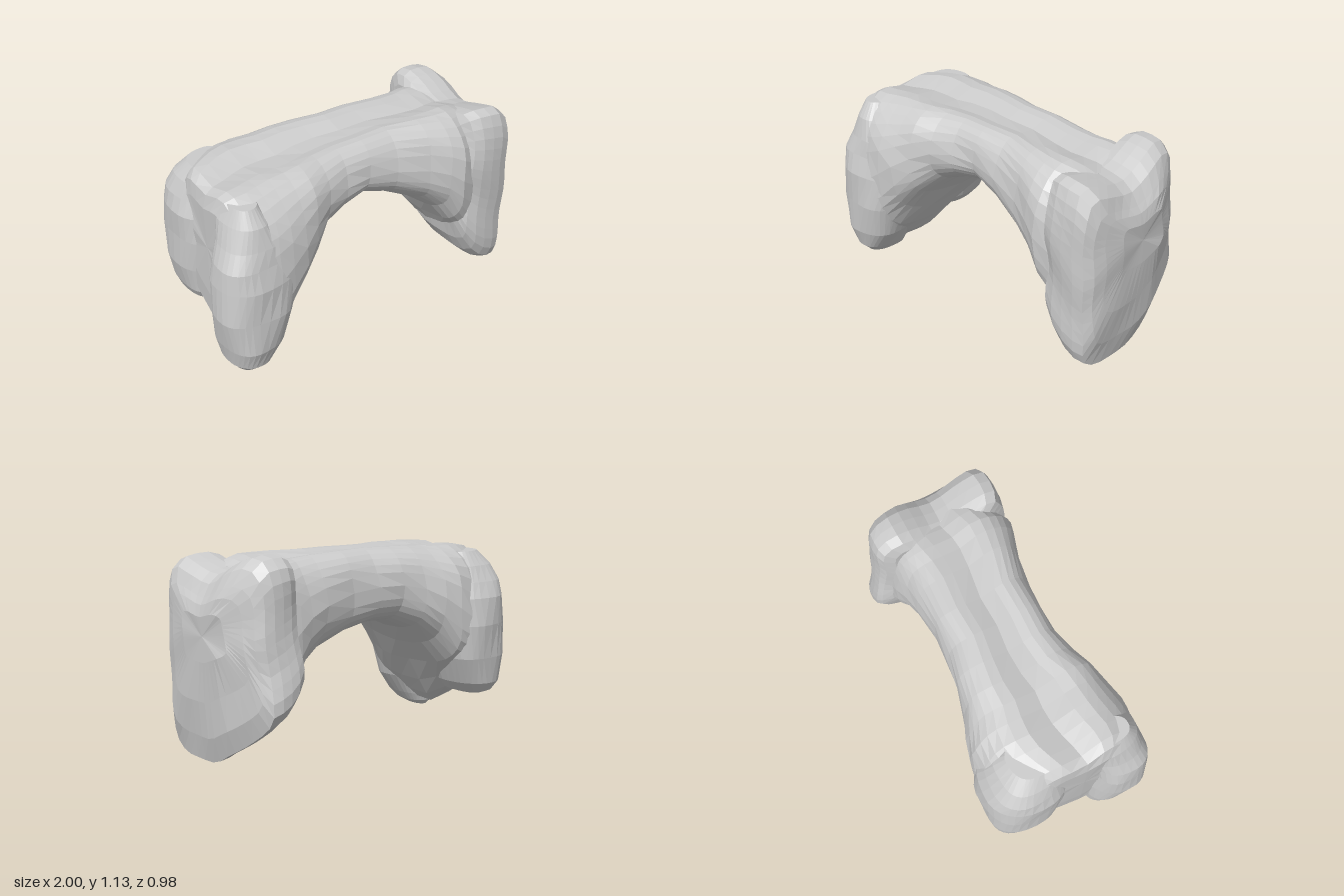
import * as THREE from 'three';

const SIDES = 32;
const material = new THREE.MeshStandardMaterial({ color: 0xcccccc, flatShading: true });

// Skins a list of closed rings of Vector3, closing both ends.
function skin(name, rings) {
  const n = rings[0].length, pos = [], idx = [];
  rings.forEach(r => r.forEach(p => pos.push(p.x, p.y, p.z)));
  for (let i = 0; i < rings.length - 1; i++)
    for (let j = 0; j < n; j++) {
      const a = i * n + j, b = i * n + (j + 1) % n;
      idx.push(a, a + n, b, b, a + n, b + n);
    }
  [0, rings.length - 1].forEach(i => {
    const c = rings[i].reduce((s, p) => s.add(p), new THREE.Vector3()).divideScalar(n);
    const k = pos.length / 3;
    pos.push(c.x, c.y, c.z);
    for (let j = 0; j < n; j++) {
      const a = i * n + j, b = i * n + (j + 1) % n;
      if (i === 0) idx.push(k, a, b); else idx.push(k, b, a);
    }
  });
  const g = new THREE.BufferGeometry();
  g.setAttribute('position', new THREE.Float32BufferAttribute(pos, 3));
  g.setIndex(idx);
  g.computeVertexNormals();
  const mesh = new THREE.Mesh(g, material);
  mesh.name = name;
  return mesh;
}

// Rounded-square cross-section: point at angle t, both coordinates in -1..1.
function squircle(t, power) {
  const f = v => Math.sign(v) * Math.pow(Math.abs(v), 2 / power);
  return [f(Math.cos(t)), f(Math.sin(t))];
}
const mix = (a, b, s) => a + (b - a) * (s + 1) / 2;
const angles = Array.from({ length: SIDES }, (_, j) => j / SIDES * Math.PI * 2);

// Gentle bone-like unevenness.
const bump = (p, s = 0.007) => {
  p.x += s * Math.sin(p.y * 17 + p.z * 11);
  p.z += s * Math.sin(p.x * 15 + p.y * 13);
  return p;
};

// Upright lobe; rows are [y, xMin, xMax, zMin, zMax].
const lobe = (name, rows) => skin(name, rows.map(([y, x0, x1, z0, z1]) =>
  angles.map(t => {
    const [u, v] = squircle(t, 2.5);
    return bump(new THREE.Vector3(mix(x0, x1, u), y, mix(z0, z1, v)));
  })));

export function createModel() {
  const group = new THREE.Group();
  group.name = 'archedBone';

  // Arched body and broad right leg: [x, yLow, yHigh, zBack, zFront, tilt].
  // Tilt lifts the underside: at the front if positive, at the back if negative.
  const bodyRows = [
    [-0.89, 0.35, 0.98, -0.20, 0.32, -0.15], [-0.87, 0.18, 1.06, -0.27, 0.39, -0.2],
    [-0.82, 0.07, 1.085, -0.36, 0.44, -0.24], [-0.75, 0.06, 1.09, -0.42, 0.47, -0.24],
    [-0.68, 0.12, 1.095, -0.45, 0.47, -0.2], [-0.60, 0.22, 1.10, -0.46, 0.46, -0.12],
    [-0.50, 0.37, 1.10, -0.45, 0.435, 0], [-0.40, 0.50, 1.105, -0.41, 0.40, 0.03],
    [-0.28, 0.61, 1.11, -0.37, 0.335, 0.05], [-0.14, 0.67, 1.115, -0.33, 0.305, 0.06],
    [0.02, 0.67, 1.12, -0.30, 0.295, 0.1], [0.20, 0.635, 1.12, -0.29, 0.31, 0.06],
    [0.40, 0.55, 1.115, -0.295, 0.365, 0.05], [0.52, 0.46, 1.11, -0.31, 0.41, 0.05],
    [0.60, 0.34, 1.11, -0.33, 0.435, 0.05], [0.68, 0.23, 1.10, -0.34, 0.41, 0.05],
    [0.76, 0.14, 1.08, -0.34, 0.38, 0]];
  group.add(skin('archedBody', bodyRows.map(([x, y0, y1, zb, zf, tilt]) =>
    angles.map(t => {
      const [u, v] = squircle(t, 3);
      let z = mix(zb, zf, u), y = mix(y0, y1, v);
      if (v > 0) {
        z *= 1 - 0.1 * v;
        // Lengthwise groove between the two top ridges
        y -= v * 0.06 * Math.exp(-(((z - 0.03) / 0.13) ** 2));
      } else y -= v * Math.max(0, tilt * u);
      return bump(new THREE.Vector3(x, y, z));
    }))));

  // Two swellings on the right end, parted by an upright groove
  group.add(lobe('frontLobe', [
    [0.00, -0.86, -0.79, 0.16, 0.32], [0.03, -0.90, -0.74, 0.13, 0.38],
    [0.08, -0.935, -0.70, 0.12, 0.43], [0.20, -0.97, -0.63, 0.11, 0.475],
    [0.40, -0.995, -0.56, 0.12, 0.485], [0.60, -0.995, -0.52, 0.13, 0.48],
    [0.72, -0.975, -0.54, 0.12, 0.46], [0.82, -0.925, -0.60, 0.11, 0.44],
    [0.94, -0.895, -0.68, 0.11, 0.40], [1.03, -0.86, -0.72, 0.12, 0.34]]));
  group.add(lobe('backLobe', [
    [0.18, -0.83, -0.70, -0.36, -0.16], [0.20, -0.87, -0.65, -0.41, -0.11],
    [0.26, -0.90, -0.60, -0.455, -0.07], [0.42, -0.925, -0.52, -0.485, -0.03],
    [0.62, -0.935, -0.47, -0.49, -0.01], [0.78, -0.93, -0.47, -0.475, 0.00],
    [0.87, -0.91, -0.50, -0.44, -0.01], [0.96, -0.88, -0.54, -0.39, -0.04],
    [1.04, -0.82, -0.60, -0.32, -0.10]]));

  // End plate: one outline (z, y) rescaled across the thickness
  const outline = new THREE.CatmullRomCurve3([
    [0.41, 1.0], [0.36, 1.09], [0.25, 1.07], [0.04, 1.02], [-0.12, 1.09],
    [-0.22, 1.13], [-0.32, 1.11], [-0.36, 1.04], [-0.37, 0.85], [-0.40, 0.6],
    [-0.43, 0.35], [-0.40, 0.28], [-0.26, 0.16], [-0.10, 0.06], [0.0, 0.005],
    [0.15, 0], [0.30, 0.01], [0.38, 0.06], [0.41, 0.15], [0.42, 0.5], [0.435, 0.85],
  ].map(([z, y]) => new THREE.Vector3(0, y, z)), true).getSpacedPoints(48).slice(0, 48);
  // Rows are [x, widthScale, yLow, yHigh]
  const plateRows = [
    [0.64, 0.80, 0.33, 1.06], [0.67, 0.95, 0.22, 1.11], [0.73, 1.0, 0.12, 1.13],
    [0.80, 1.01, 0.05, 1.13], [0.87, 1.0, 0.01, 1.12], [0.93, 0.96, 0.0, 1.07],
    [0.965, 0.86, 0.14, 0.98], [0.985, 0.70, 0.34, 0.92], [1.0, 0.42, 0.56, 0.83]];
  group.add(skin('endPlate', plateRows.map(([x, s, y0, y1]) =>
    outline.map(p => {
      const z = 0.01 + (p.z - 0.01) * s;
      // The outer face curls inwards towards the back
      const curl = 0.3 * Math.max(0, -z - 0.12) * (x - 0.64) / 0.36;
      return bump(new THREE.Vector3(x - curl, y0 + p.y / 1.13 * (y1 - y0), z), 0.005);
    }))));

  return group;
}
